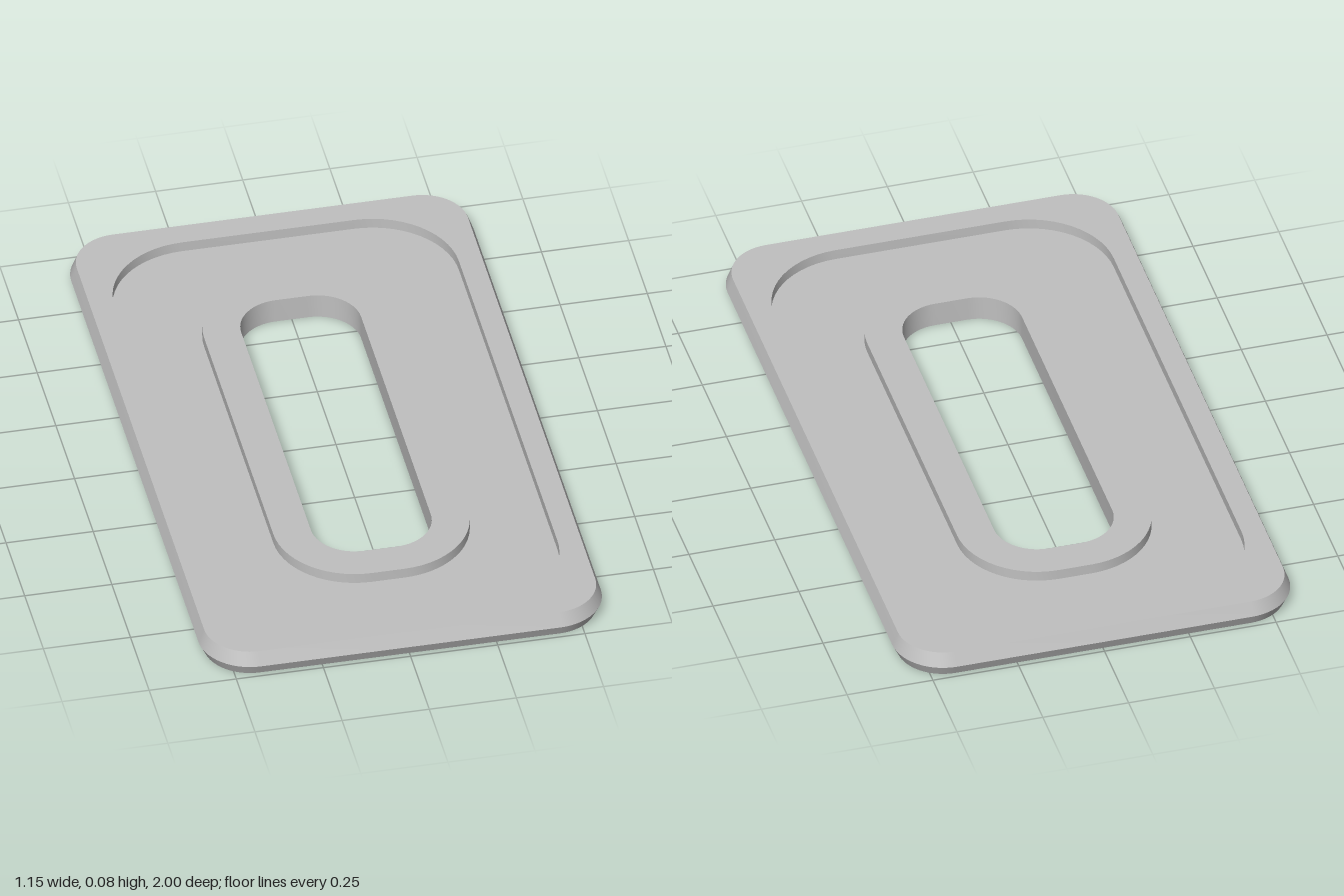
import * as THREE from 'three';
import { toCreasedNormals } from 'three/addons/utils/BufferGeometryUtils.js';

const SEGMENTS = 14; // per rounded corner

// Rounded-rectangle ring: half width, half length, corner radius, height
function ring([hx, hz, r, y]) {
  const points = [];
  const signs = [[1, 1], [-1, 1], [-1, -1], [1, -1]];
  signs.forEach(([sx, sz], corner) => {
    for (let i = 0; i <= SEGMENTS; i++) {
      const a = (corner + i / SEGMENTS) * Math.PI / 2;
      points.push([sx * (hx - r) + r * Math.cos(a), y, sz * (hz - r) + r * Math.sin(a)]);
    }
  });
  return points;
}

// Skin joining successive rings
function loft(profiles) {
  const rings = profiles.map(ring);
  const positions = [];
  for (let k = 0; k < rings.length - 1; k++) {
    const n = rings[k].length;
    for (let j = 0; j < n; j++) {
      const m = (j + 1) % n;
      const a = rings[k][j], b = rings[k][m], c = rings[k + 1][j], d = rings[k + 1][m];
      positions.push(...a, ...c, ...d, ...a, ...d, ...b);
    }
  }
  const geometry = new THREE.BufferGeometry();
  geometry.setAttribute('position', new THREE.Float32BufferAttribute(positions, 3));
  return toCreasedNormals(geometry, 0.4);
}

export function createModel() {
  const group = new THREE.Group();
  const grey = new THREE.MeshStandardMaterial({ color: 0xc0c0c0 });
  grey.name = 'light grey';

  const top = 0.075, floor = 0.044;
  const slot = y => [0.172, 0.592, 0.125, y];
  const island = y => [0.279, 0.697, 0.232, y];
  const recess = y => [0.494, 0.908, 0.247, y];
  const edge = y => [0.561, 0.984, 0.131, y];
  const waist = [0.577, 1, 0.147, 0.033];

  // Each part follows the section outward below, then inward above
  const parts = {
    underside: [slot(0), edge(0)],
    bevelledEdge: [edge(0), waist, edge(top)],
    outerRim: [edge(top), recess(top), recess(floor)],
    channelFloor: [recess(floor), island(floor)],
    innerRim: [island(floor), island(top), slot(top)],
    slotWall: [slot(top), slot(0)],
  };
  for (const [name, profiles] of Object.entries(parts)) {
    const mesh = new THREE.Mesh(loft(profiles), grey);
    mesh.name = name;
    group.add(mesh);
  }
  return group;
}
